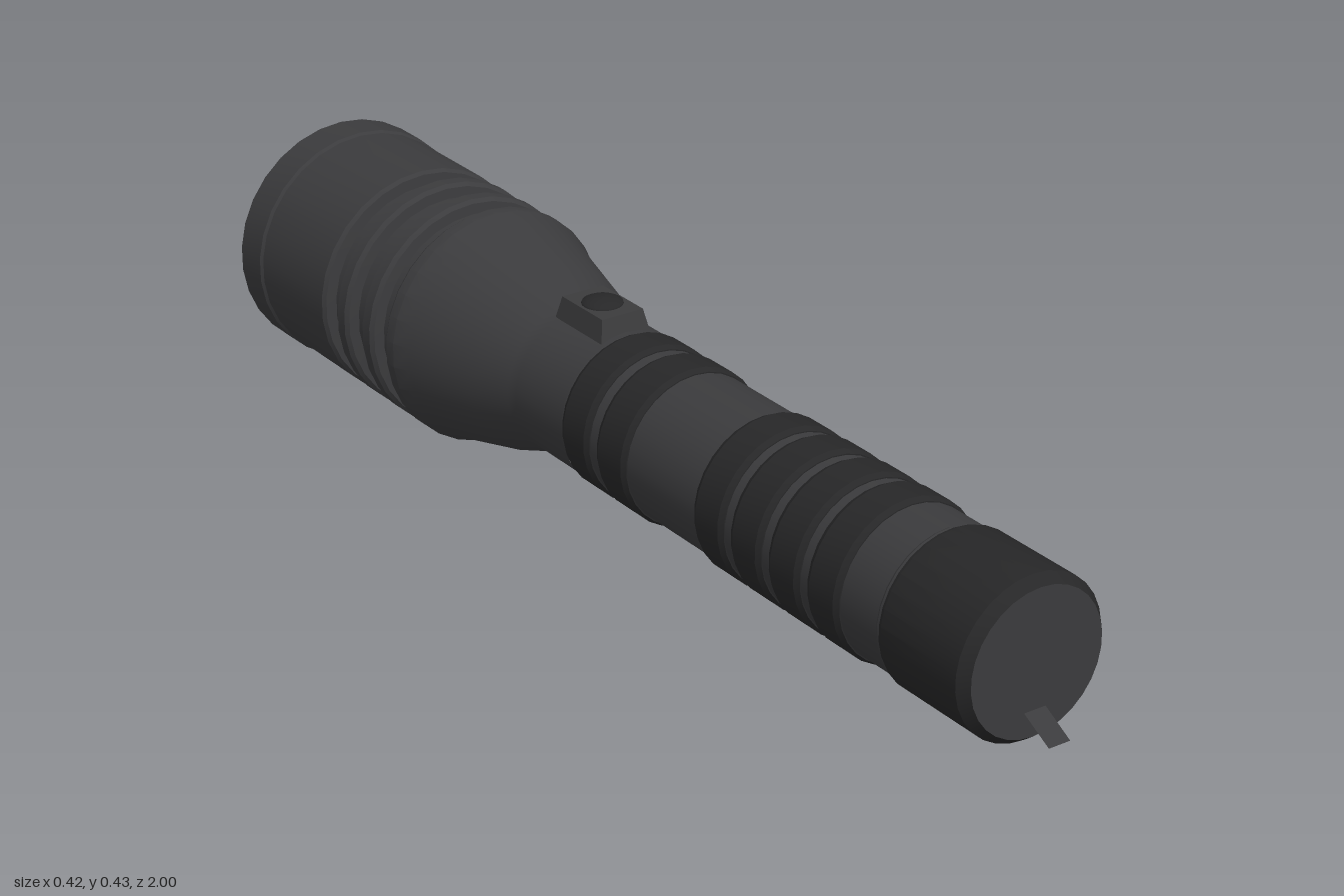
import * as THREE from 'three';
import { toCreasedNormals } from 'three/addons/utils/BufferGeometryUtils.js';

const AXIS_Y = 0.215;
const SIDES = 30;

const bodyMat = new THREE.MeshStandardMaterial({ color: 0x3b3b3d });
const gripMat = new THREE.MeshStandardMaterial({ color: 0x272728 });
const lensMat = new THREE.MeshStandardMaterial({ color: 0xc4c9ce });
const tabMat = new THREE.MeshStandardMaterial({ color: 0x3b3b3d, side: THREE.DoubleSide });

export function createModel() {
  const group = new THREE.Group();

  const add = (name, geometry, material) => {
    const mesh = new THREE.Mesh(geometry, material);
    mesh.name = name;
    group.add(mesh);
    return mesh;
  };

  // Turned part about the torch axis; profile is [radius, z] with z rising
  const turned = (name, profile, material) => {
    const points = profile.map(([r, z]) => new THREE.Vector2(r, z));
    const geometry = new THREE.LatheGeometry(points, SIDES);
    geometry.rotateX(Math.PI / 2);
    add(name, toCreasedNormals(geometry, 0.4), material).position.y = AXIS_Y;
  };

  // Head: recessed bezel, barrel, two cooling fins and the flare
  const head = [
    [0.188, -0.93], [0.19, -0.99], [0.194, -1], [0.213, -1], [0.213, -0.935],
    [0.209, -0.93], [0.209, -0.725], [0.204, -0.718], [0.185, -0.716],
  ];
  for (const [z0, z1] of [[-0.68, -0.64], [-0.597, -0.557]]) {
    head.push([0.185, z0], [0.203, z0 + 0.002], [0.209, z0 + 0.009],
      [0.209, z1 - 0.009], [0.203, z1 - 0.002], [0.185, z1]);
  }
  head.push([0.185, -0.52], [0.204, -0.518], [0.209, -0.51], [0.209, -0.488],
    [0.196, -0.455], [0.163, -0.32], [0.136, -0.245], [0.133, -0.225], [0.133, -0.09]);
  turned('head', head, bodyMat);

  // Lens at the bottom of the bezel
  const lens = new THREE.CircleGeometry(0.189, SIDES);
  lens.rotateZ(Math.PI / 2);
  lens.rotateY(Math.PI);
  add('lens', lens, lensMat).position.set(0, AXIS_Y, -0.931);

  // Handle tube
  turned('handleTube', [[0.13, -0.1], [0.13, 0.735], [0.133, 0.74], [0.133, 0.76]], bodyMat);

  // Rubber grip bands: two behind the switch, four further back
  const bands = [[-0.088, -0.01], [0.012, 0.095]];
  for (let i = 0; i < 4; i++) bands.push([0.28 + i * 0.097, 0.358 + i * 0.097]);
  for (const [z0, z1] of bands) {
    turned('gripBand', [[0.129, z0], [0.132, z0], [0.137, z0 + 0.01],
      [0.137, z1 - 0.01], [0.132, z1], [0.129, z1]], gripMat);
  }

  // Tail cap with chamfered rim
  turned('tailCap', [[0.129, 0.742], [0.132, 0.742], [0.136, 0.752],
    [0.136, 0.925], [0.122, 0.943]], gripMat);
  const end = new THREE.CircleGeometry(0.122, SIDES);
  end.rotateZ(Math.PI / 2);
  add('tailFace', end, bodyMat).position.set(0, AXIS_Y, 0.943);

  // Sloping thin lanyard tab, from the tail face down and outward
  const tab = new THREE.PlaneGeometry(0.04, Math.hypot(0.057, 0.031));
  tab.rotateX(-Math.atan2(0.057, 0.031));
  add('lanyardTab', tab, tabMat).position.set(0, 0.122, 0.9715);

  // Switch housing: a box narrowed towards its top
  const housing = new THREE.BoxGeometry(0.1, 0.05, 0.14);
  const p = housing.attributes.position;
  for (let i = 0; i < p.count; i++) {
    if (p.getY(i) > 0) p.setXYZ(i, p.getX(i) * 0.8, p.getY(i), p.getZ(i) * 0.83);
  }
  housing.computeVertexNormals();
  add('switchHousing', housing, bodyMat).position.set(0, 0.352, -0.165);

  // Low domed push button
  const dome = [[0.035, 0], [0.034, 0.003], [0.026, 0.007], [0.014, 0.01], [0, 0.011]]
    .map(([r, y]) => new THREE.Vector2(r, y));
  add('switchButton', new THREE.LatheGeometry(dome, 20), gripMat).position.set(0, 0.377, -0.165);

  return group;
}
